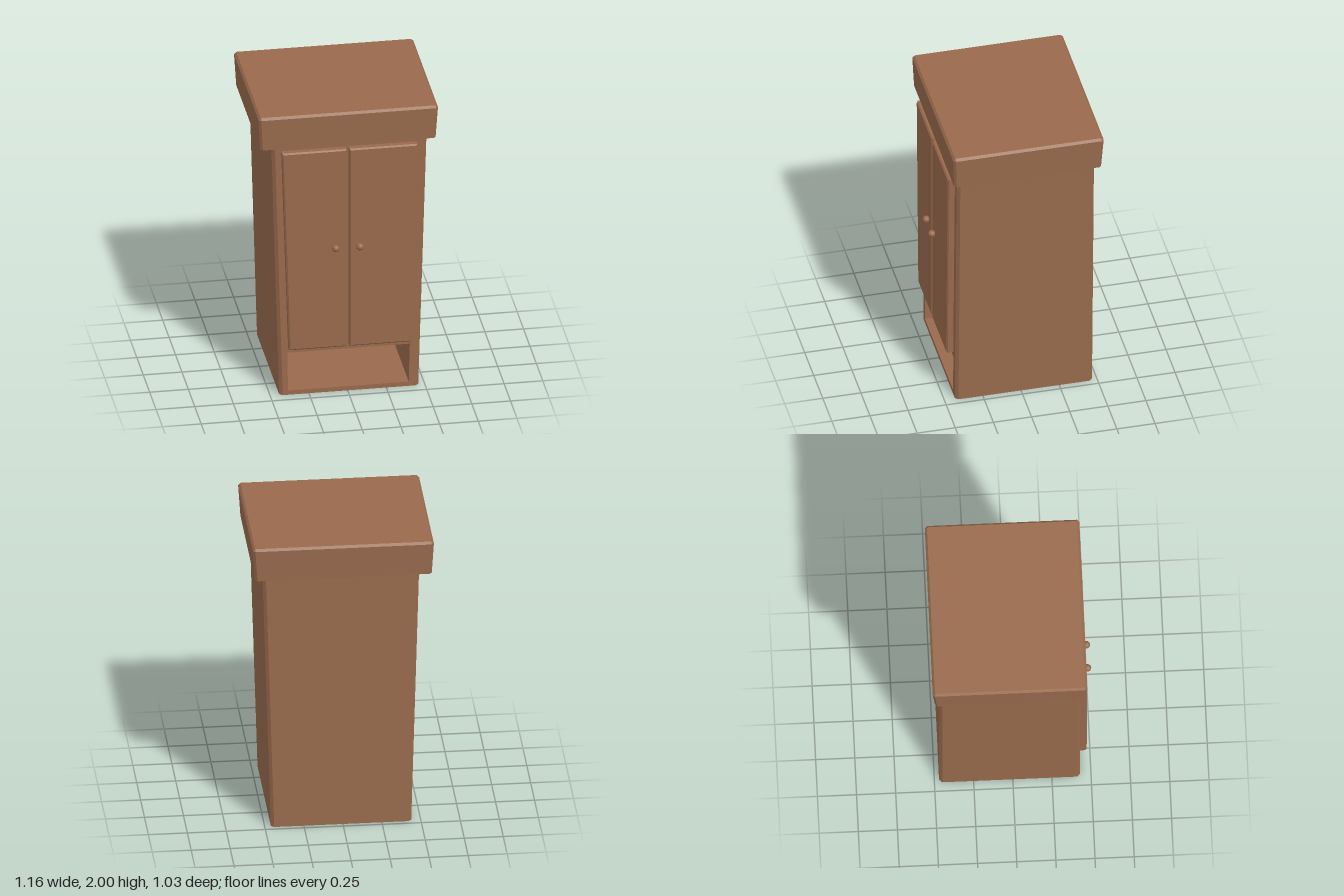
import * as THREE from 'three';

const wood = new THREE.MeshStandardMaterial({ color: 0x996a4d, side: THREE.DoubleSide });
wood.name = 'brown wood';

// Skin a stack of matching rings with flat faces (rings run counter-clockwise about the stacking axis)
function loft(rings, { start = true, end = true, openSide = false } = {}) {
  const pos = [];
  const tri = (...pts) => pts.forEach((p) => pos.push(...p));
  const n = rings[0].length;
  for (let k = 0; k < rings.length - 1; k++) {
    const a = rings[k], b = rings[k + 1];
    for (let i = 0; i < (openSide ? n - 1 : n); i++) {
      const j = (i + 1) % n;
      tri(a[i], a[j], b[j]);
      tri(a[i], b[j], b[i]);
    }
  }
  const first = rings[0], last = rings[rings.length - 1];
  for (let i = 1; i < n - 1; i++) {
    if (start) tri(first[0], first[i + 1], first[i]);
    if (end) tri(last[0], last[i], last[i + 1]);
  }
  const geo = new THREE.BufferGeometry();
  geo.setAttribute('position', new THREE.Float32BufferAttribute(pos, 3));
  geo.computeVertexNormals();
  return geo;
}

// Horizontal rectangle with cut corners; the last side is the front
function cutRect(y, x0, x1, z0, z1, c) {
  return [
    [x1 - c, y, z1], [x1, y, z1 - c], [x1, y, z0 + c], [x1 - c, y, z0],
    [x0 + c, y, z0], [x0, y, z0 + c], [x0, y, z1 - c], [x0 + c, y, z1],
  ];
}

// Upright four-sided outline, inset by d
function upright(z, [bl, br, tr, tl], y0, y1, d = 0) {
  return [[bl + d, y0 + d, z], [br - d, y0 + d, z], [tr - d, y1 - d, z], [tl + d, y1 - d, z]];
}

export function createModel() {
  const group = new THREE.Group();
  const add = (name, geo) => {
    const mesh = new THREE.Mesh(geo, wood);
    mesh.name = name;
    group.add(mesh);
    return mesh;
  };

  // Tapered carcass, open at the bottom and at the front
  const c = 0.02, front = 0.43, back = -0.47, top = 1.77;
  add('carcass', loft([
    cutRect(0, -0.44, 0.46, back, front, c),
    cutRect(top, -0.49, 0.513, back, front, c),
  ], { start: false, openSide: true }));

  // Front panel with the opening of the lower shelf
  const niche = [-0.385, 0.395, 0.402, -0.39];
  const panel = new THREE.Shape([[-0.42, 0], [0.44, 0], [0.493, top], [-0.47, top]]
    .map(([x, y]) => new THREE.Vector2(x, y)));
  const opening = upright(0, niche, 0.03, 0.3).map(([x, y]) => new THREE.Vector2(x, y));
  panel.holes.push(new THREE.Path(opening));
  add('frontPanel', new THREE.ShapeGeometry(panel).translate(0, 0, front));

  // Shelf recess and the raised underside
  add('shelfRecess', loft([
    upright(-0.44, niche, 0.03, 0.3),
    upright(front, niche, 0.03, 0.3),
  ], { end: false }));
  const under = cutRect(0.024, -0.44, 0.46, back, front, c);
  add('underside', loft([under, under.map(([x, y, z]) => [x, y + 0.003, z])]));

  // Overhanging top with a bevelled upper edge
  add('cornice', loft([
    cutRect(top, -0.568, 0.566, -0.503, 0.461, 0.015),
    cutRect(1.985, -0.58, 0.58, -0.517, 0.47, 0.015),
    cutRect(2, -0.566, 0.566, -0.503, 0.456, 0.004),
  ]));

  // Bevelled doors, sloping on the outer side
  const doors = {
    rightDoor: [-0.385, -0.013, -0.013, -0.43],
    leftDoor: [0.005, 0.4, 0.445, 0.005],
  };
  for (const [name, outline] of Object.entries(doors)) {
    add(name, loft([
      upright(front, outline, 0.335, 1.74),
      upright(0.466, outline, 0.335, 1.74),
      upright(0.475, outline, 0.335, 1.74, 0.009),
    ]));
  }

  // Round knobs
  for (const [name, x] of [['rightKnob', -0.087], ['leftKnob', 0.07]]) {
    add(name, new THREE.SphereGeometry(0.024, 24, 16)).position.set(x, 1.05, 0.493);
  }
  return group;
}
